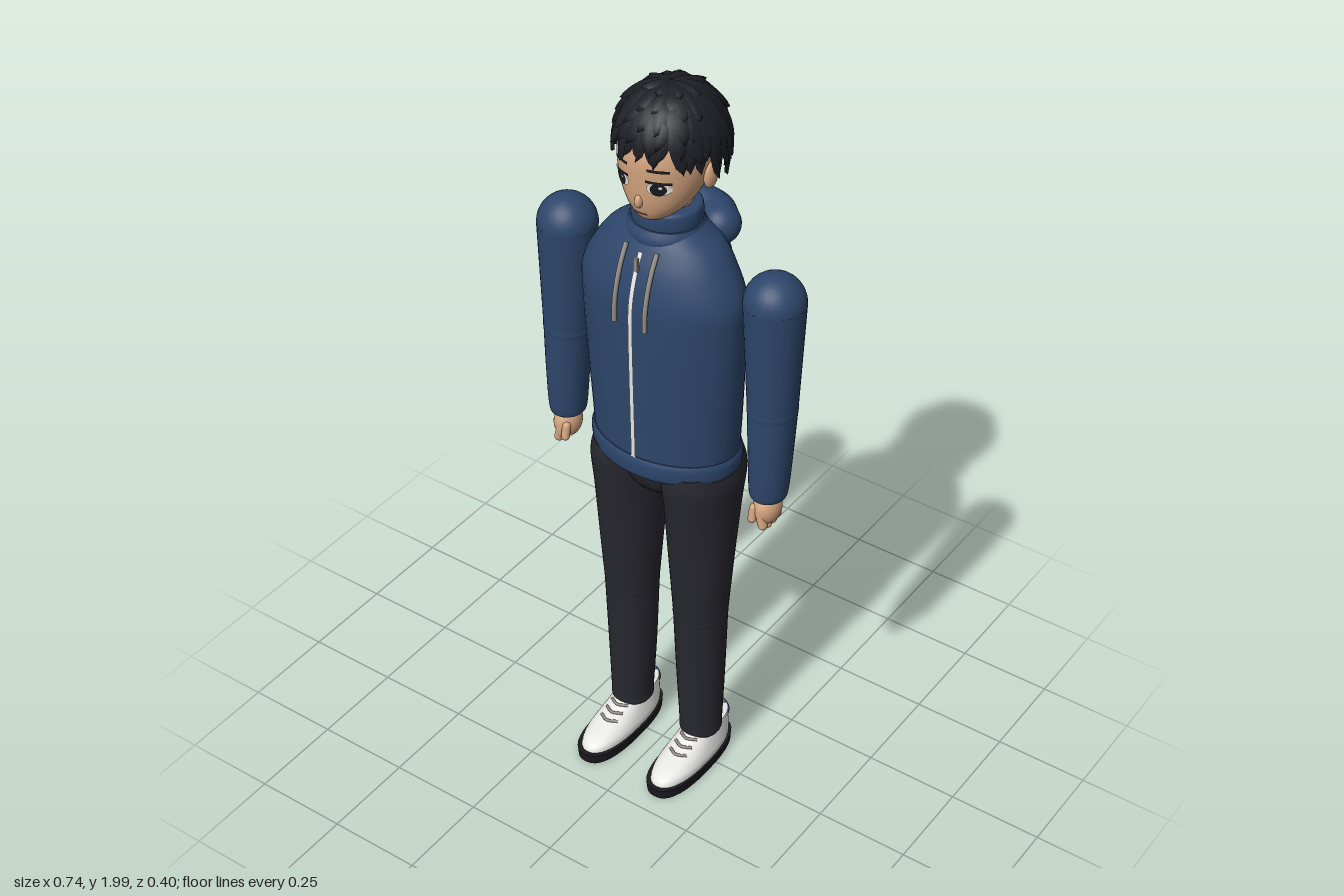
import * as THREE from 'three';

const mat = (name, color, side = THREE.FrontSide) => {
  const m = new THREE.MeshStandardMaterial({ color, side });
  m.name = name;
  return m;
};

// Catmull-Rom sample through rows of numbers [y, cx, rx, zFront, zBack]
function sample(rows, u) {
  const n = rows.length - 1, i = Math.min(Math.floor(u * n), n - 1), t = u * n - i;
  const p = (k) => rows[Math.max(0, Math.min(n, k))];
  return rows[0].map((_, k) => {
    const a = p(i - 1)[k], b = p(i)[k], c = p(i + 1)[k], d = p(i + 2)[k];
    return b + 0.5 * t * (c - a + t * (2 * a - 5 * b + 4 * c - d + t * (3 * (b - c) + d - a)));
  });
}

// Closed body through elliptical cross-sections, listed from bottom to top
function loft(rows, sub = 5, power = 2, seg = 36) {
  const pos = [], idx = [], n = (rows.length - 1) * sub;
  const ring = (r) => {
    const [y, cx, rx, zf, zb] = r;
    for (let j = 0; j < seg; j++) {
      const a = (j / seg) * Math.PI * 2, c = Math.cos(a), s = Math.sin(a);
      const e = (v) => Math.sign(v) * Math.abs(v) ** (2 / power);
      pos.push(cx + rx * e(c), y, (zf + zb) / 2 + ((zf - zb) / 2) * e(s));
    }
  };
  for (let i = 0; i <= n; i++) ring(sample(rows, i / n));
  for (let i = 0; i < n; i++) for (let j = 0; j < seg; j++) {
    const a = i * seg + j, b = i * seg + (j + 1) % seg;
    idx.push(a, a + seg, b, b, a + seg, b + seg);
  }
  for (const end of [0, 1]) {
    const r = rows[end ? rows.length - 1 : 0], base = pos.length / 3;
    ring(r);
    pos.push(r[1], r[0], (r[3] + r[4]) / 2);
    for (let j = 0; j < seg; j++) {
      const a = base + j, b = base + (j + 1) % seg;
      idx.push(base + seg, end ? b : a, end ? a : b);
    }
  }
  const g = new THREE.BufferGeometry();
  g.setAttribute('position', new THREE.Float32BufferAttribute(pos, 3));
  g.setIndex(idx);
  g.computeVertexNormals();
  return g;
}

// Front surface depth of a lofted body at x, y
function frontZ(rows, x, y) {
  let lo = 0, hi = 1;
  for (let k = 0; k < 24; k++) {
    const m = (lo + hi) / 2;
    if (sample(rows, m)[0] < y) lo = m; else hi = m;
  }
  const [, cx, rx, zf, zb] = sample(rows, lo), q = Math.min(1, Math.abs((x - cx) / rx));
  return (zf + zb) / 2 + ((zf - zb) / 2) * Math.sqrt(1 - q * q);
}

// Lay a flat shape onto the front of a lofted body
function drape(geo, rows, x, y, off, tilt = 0) {
  geo.rotateZ(tilt).translate(x, y, 0);
  const p = geo.attributes.position;
  for (let i = 0; i < p.count; i++) p.setZ(i, frontZ(rows, p.getX(i), p.getY(i)) + off);
  geo.computeVertexNormals();
  return geo;
}

const ball = (x, y, z, rx, ry, rz) =>
  new THREE.SphereGeometry(1, 28, 20).scale(rx, ry, rz).translate(x, y, z);
const tube = (pts, r, n = 20) => new THREE.TubeGeometry(
  new THREE.CatmullRomCurve3(pts.map((p) => new THREE.Vector3(...p))), n, r, 12);

// Leaf-shaped hair lock following the skull at azimuth a (0 = front)
function lock(a, t0, t1, width, lift, bend) {
  const pos = [], idx = [], N = 8;
  for (let i = 0; i <= N; i++) {
    const t = i / N, th = t0 + (t1 - t0) * t;
    const w = width * Math.min(1, 0.45 + t * 1.6) * Math.sqrt(1 - t ** 2.2);
    const az = a + bend * t * t, s0 = Math.sin(th);
    const s = th > Math.PI / 2 ? 0.72 + 0.28 * s0 : s0;
    for (let k = -1; k <= 1; k++) {
      const f = 1 + lift * (0.35 + 0.65 * t) + (k ? -0.03 : 0.035);
      pos.push(f * 0.128 * s * Math.sin(az) + k * w * Math.cos(az), 1.845 + 0.14 * f * Math.cos(th),
        -0.035 + f * 0.134 * s * Math.cos(az) - k * w * Math.sin(az));
    }
    if (i) for (let k = 0; k < 2; k++) {
      const q = (i - 1) * 3 + k;
      idx.push(q, q + 3, q + 1, q + 1, q + 3, q + 4);
    }
  }
  const g = new THREE.BufferGeometry();
  g.setAttribute('position', new THREE.Float32BufferAttribute(pos, 3));
  g.setIndex(idx);
  g.computeVertexNormals();
  return g;
}

export function createModel() {
  const root = new THREE.Group();
  root.name = 'standingPerson';
  const navy = mat('navyCloth', 0x2d466b), black = mat('trouserBlack', 0x27272f);
  const hair = mat('hairBlack', 0x1d1e24, THREE.DoubleSide), skin = mat('skin', 0xd3a47e);
  const white = mat('white', 0xe6e6e3), sole = mat('soleBlack', 0x1b1b20);
  const grey = mat('cordGrey', 0x908b84), lip = mat('lip', 0x8a5145);
  const add = (name, geo, m) => {
    const mesh = new THREE.Mesh(geo, m);
    mesh.name = name;
    root.add(mesh);
    return mesh;
  };

  // Jacket
  const torso = [[0.98, 0, 0.192, 0.117, -0.155], [1.1, 0, 0.2, 0.12, -0.154], [1.25, 0, 0.21, 0.124, -0.147],
    [1.4, 0, 0.217, 0.127, -0.139], [1.48, 0, 0.217, 0.124, -0.135], [1.55, 0, 0.186, 0.106, -0.128],
    [1.6, 0, 0.15, 0.083, -0.117], [1.63, 0, 0.11, 0.066, -0.102], [1.65, 0, 0.08, 0.05, -0.09]];
  add('jacketBody', loft(torso, 5, 2, 48), navy);
  add('jacketHem', loft([[0.973, 0, 0.193, 0.12, -0.158], [0.985, 0, 0.2, 0.125, -0.163],
    [1.015, 0, 0.202, 0.126, -0.163], [1.03, 0, 0.197, 0.121, -0.157]], 4, 2, 48), navy);
  add('collarBase', loft([[1.6, 0, 0.098, 0.074, -0.108], [1.625, 0, 0.1, 0.076, -0.11],
    [1.648, 0, 0.09, 0.066, -0.1]]), navy);
  add('collar', loft([[1.63, 0, 0.084, 0.06, -0.098], [1.66, 0, 0.087, 0.063, -0.1],
    [1.685, 0, 0.085, 0.061, -0.098], [1.692, 0, 0.078, 0.054, -0.091]]), navy);
  add('zip', drape(new THREE.PlaneGeometry(0.012, 0.57, 2, 40), torso, 0, 1.315, 0.005), white);
  add('zipPull', new THREE.BoxGeometry(0.012, 0.035, 0.008)
    .translate(0, 1.575, frontZ(torso, 0, 1.575) + 0.01), grey);

  // Hood folded on the back
  add('hoodRoll', tube([[-0.08, 1.6, -0.118], [-0.045, 1.607, -0.144], [0, 1.61, -0.149],
    [0.045, 1.607, -0.144], [0.08, 1.6, -0.118]], 0.05), navy);
  add('hoodBag', ball(0, 1.495, -0.138, 0.095, 0.085, 0.056), navy);

  // Hips
  add('hips', ball(0, 0.975, -0.025, 0.13, 0.125, 0.12), black);

  for (const s of [1, -1]) {
    const side = s > 0 ? 'left' : 'right';
    add(side + 'HoodEnd', ball(s * 0.08, 1.6, -0.118, 0.05, 0.05, 0.05), navy);
    const cord = [1.42, 1.47, 1.52, 1.57, 1.61].map((y) => [s * 0.043, y, frontZ(torso, 0.043, y) + 0.01]);
    add(side + 'Drawstring', tube(cord, 0.006), grey);

    // Arm
    add(side + 'Shoulder', ball(s * 0.295, 1.515, -0.025, 0.075, 0.075, 0.075), navy);
    add(side + 'UpperSleeve', loft([[1.22, s * 0.299, 0.06, 0.04, -0.086],
      [1.515, s * 0.295, 0.075, 0.05, -0.1]], 4), navy);
    add(side + 'Elbow', ball(s * 0.299, 1.22, -0.023, 0.061, 0.061, 0.064), navy);
    add(side + 'LowerSleeve', loft([[0.963, s * 0.3, 0.038, 0.025, -0.057], [0.98, s * 0.3, 0.047, 0.035, -0.066],
      [1.1, s * 0.3, 0.054, 0.039, -0.077], [1.22, s * 0.299, 0.06, 0.04, -0.086]]), navy);

    // Hand with curled fingers
    add(side + 'Palm', ball(s * 0.3, 0.928, -0.013, 0.034, 0.046, 0.042), skin);
    for (let f = 0; f < 4; f++) {
      add(side + 'Finger', new THREE.CapsuleGeometry(0.012, 0.032, 5, 12).rotateZ(s * 0.25)
        .translate(s * 0.303, 0.9 + (f % 3 ? 0 : 0.006), 0.018 - f * 0.021), skin);
    }
    add(side + 'Thumb', new THREE.CapsuleGeometry(0.011, 0.03, 5, 12).rotateX(-0.2)
      .translate(s * 0.281, 0.92, 0.022), skin);

    // Leg
    add(side + 'Thigh', loft([[0.5, s * 0.107, 0.069, 0.058, -0.09], [0.7, s * 0.107, 0.081, 0.076, -0.112],
      [0.85, s * 0.106, 0.089, 0.092, -0.138], [0.94, s * 0.105, 0.095, 0.104, -0.155],
      [0.99, s * 0.1, 0.09, 0.1, -0.148]]), black);
    add(side + 'Knee', ball(s * 0.107, 0.5, -0.016, 0.07, 0.07, 0.075), black);
    add(side + 'Shin', loft([[0.09, s * 0.11, 0.052, 0.036, -0.072], [0.1, s * 0.11, 0.056, 0.04, -0.076],
      [0.13, s * 0.11, 0.056, 0.04, -0.076], [0.3, s * 0.108, 0.063, 0.048, -0.084],
      [0.5, s * 0.107, 0.069, 0.058, -0.09]]), black);

    // Shoe
    const cx = s * 0.112;
    add(side + 'Sole', loft([[0, cx, 0.061, 0.197, -0.124], [0.028, cx, 0.063, 0.2, -0.126]], 1, 2.5), sole);
    add(side + 'ShoeUpper', loft([[0.026, cx, 0.058, 0.188, -0.118], [0.042, cx, 0.058, 0.178, -0.12],
      [0.056, cx, 0.054, 0.148, -0.12], [0.072, cx, 0.049, 0.098, -0.119], [0.088, cx, 0.045, 0.058, -0.117],
      [0.105, cx, 0.042, 0.03, -0.117]], 4, 2.3), white);
    for (let k = 0; k < 3; k++) {
      const y = 0.072 + k * 0.01, z = 0.1 - k * 0.024;
      add(side + 'Lace', tube([[cx - 0.026, y, z - 0.014], [cx, y + 0.003, z], [cx + 0.026, y, z - 0.014]],
        0.004, 10), grey);
    }
    add(side + 'HeelTab', ball(cx, 0.08, -0.114, 0.024, 0.032, 0.012), navy);
  }

  // Head
  const head = [[1.676, 0, 0.018, 0.06, 0.01], [1.69, 0, 0.048, 0.078, -0.03], [1.73, 0, 0.084, 0.092, -0.08],
    [1.79, 0, 0.108, 0.098, -0.12], [1.85, 0, 0.113, 0.098, -0.14], [1.91, 0, 0.098, 0.075, -0.13],
    [1.95, 0, 0.05, 0.03, -0.085]];
  add('head', loft(head, 6, 2, 48), skin);
  add('neck', new THREE.CylinderGeometry(0.055, 0.06, 0.12, 28).translate(0, 1.69, -0.025), skin);
  add('nose', ball(0, 1.74, 0.092, 0.01, 0.018, 0.014), skin);
  add('mouth', drape(new THREE.PlaneGeometry(0.036, 0.006, 6, 1), head, 0, 1.706, 0.003), lip);
  for (const s of [1, -1]) {
    const side = s > 0 ? 'left' : 'right';
    add(side + 'Ear', ball(s * 0.112, 1.79, -0.028, 0.014, 0.035, 0.023), skin);
    add(side + 'EyeWhite', drape(new THREE.CircleGeometry(1, 24).scale(0.026, 0.017, 1), head, s * 0.05, 1.785, 0.003), white);
    add(side + 'Iris', drape(new THREE.CircleGeometry(0.017, 20), head, s * 0.05, 1.785, 0.005), sole);
    add(side + 'EyeGlint', drape(new THREE.CircleGeometry(0.004, 10), head, s * 0.05 + 0.006, 1.791, 0.007), white);
    add(side + 'Lash', drape(new THREE.PlaneGeometry(0.054, 0.007, 6, 1), head, s * 0.05, 1.802, 0.005, -s * 0.08), hair);
    add(side + 'Brow', drape(new THREE.PlaneGeometry(0.046, 0.007, 6, 1), head, s * 0.05, 1.832, 0.004, -s * 0.05), hair);
  }

  // Hair: skull cap and layered locks, longer towards the nape
  add('hairCap', new THREE.SphereGeometry(1, 36, 20, 0, Math.PI * 2, 0, Math.PI * 0.52).rotateX(-0.4)
    .scale(0.125, 0.138, 0.131).translate(0, 1.845, -0.035), hair);
  const layers = [[26, 0.8, 1, 0.024, 0.02], [21, 0.65, 0.86, 0.026, 0.06], [17, 0.45, 0.7, 0.029, 0.07],
    [12, 0.22, 0.5, 0.027, 0.07], [7, 0.02, 0.28, 0.022, 0.07]];
  layers.forEach(([n, t0, part, w, lift], r) => {
    for (let i = 0; i < n; i++) {
      const a = ((i + (r % 2) * 0.5) / n) * Math.PI * 2, wob = Math.sin(i * 2.4 + r * 1.7);
      const end = Math.acos((1.788 + 0.06 * Math.cos(a) - 1.845) / 0.145);
      add('hairLock', lock(a, t0, end * part * (1 + 0.05 * wob), w, lift + 0.015 * wob, 0.12 * wob), hair);
    }
  });
  return root;
}
